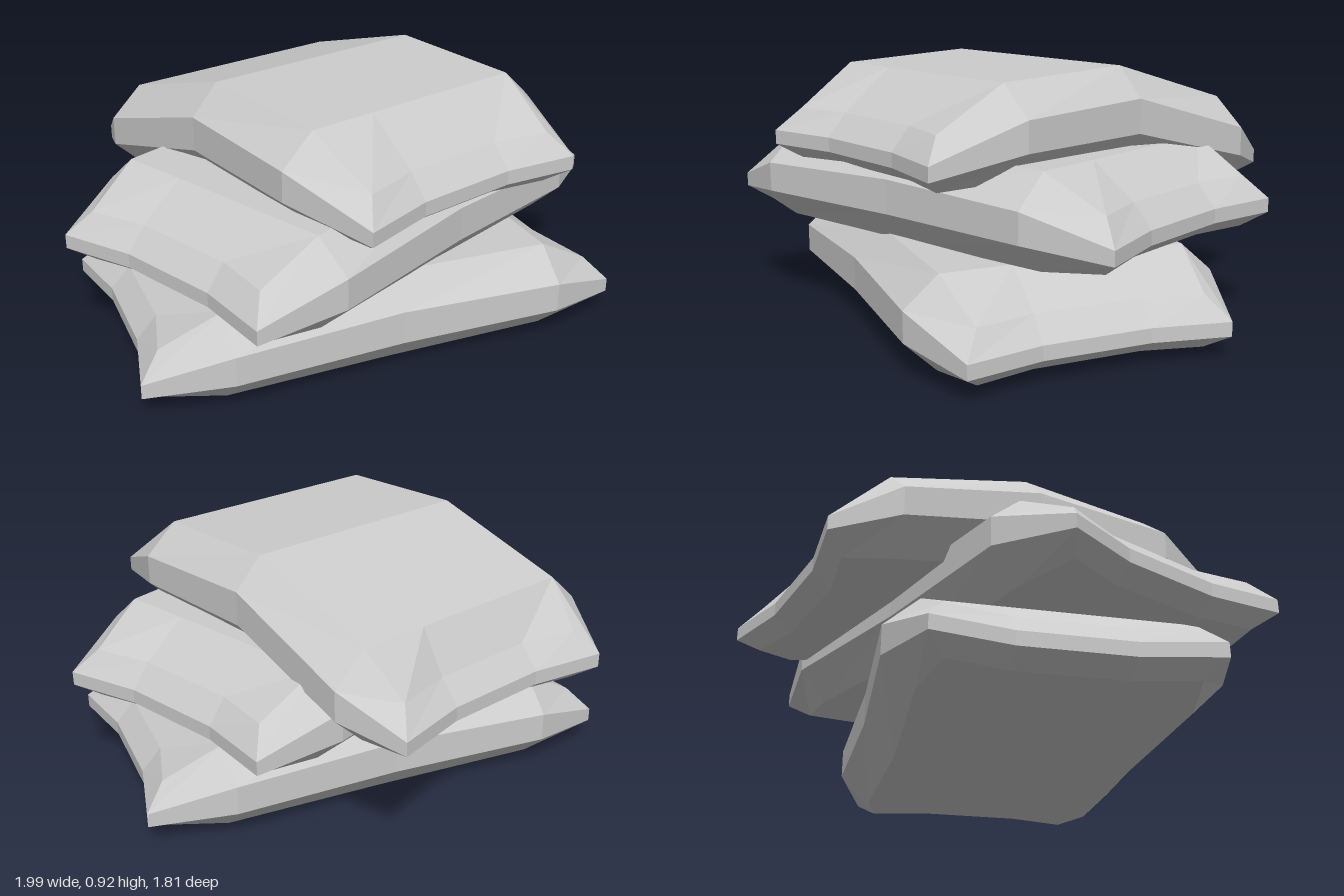
import * as THREE from 'three';

// Bag layers from bottom to top. Each lists [x, half width, y] at the
// middle, shoulder and corner, then the x of the pinched end.
const LAYERS = [
  { at: [[0, 0.43, 0], [0.6, 0.45, 0.01], [0.81, 0.4, 0.03]], pinch: 0.76 },
  { at: [[0, 0.54, 0.115], [0.6, 0.56, 0.115], [0.885, 0.46, 0.08]], pinch: 0.83 },
  { at: [[0, 0.54, 0.235], [0.6, 0.56, 0.22], [0.885, 0.46, 0.13]], pinch: 0.83 },
  { at: [[0, 0.44, 0.34], [0.6, 0.44, 0.325], [0.81, 0.4, 0.21]], pinch: 0.76 },
];
const ROWS = 5, COLS = 4;

// drape: [dx, dy] shift for each of the five rows along the bag
function bagGeometry(drape) {
  const positions = [], index = [];
  for (const { at, pinch } of LAYERS) {
    for (let i = 0; i < ROWS; i++) {
      const k = Math.abs(i - 2), side = Math.sign(i - 2);
      const [x, w, y] = at[k];
      for (let j = 0; j < COLS; j++) {
        const inner = j === 1 || j === 2;
        const px = side * (inner && k === 2 ? pinch : x);
        const pz = (j < 2 ? -1 : 1) * (inner ? 0.19 : w);
        positions.push(px + drape[i][0], y + drape[i][1], pz);
      }
    }
  }
  const id = (layer, i, j) => (layer * ROWS + i) * COLS + j;
  const quad = (a, b, c, d) => index.push(a, b, c, a, c, d);

  // Top and bottom panels
  for (let i = 0; i < ROWS - 1; i++) {
    for (let j = 0; j < COLS - 1; j++) {
      quad(id(3, i, j), id(3, i, j + 1), id(3, i + 1, j + 1), id(3, i + 1, j));
      quad(id(0, i, j), id(0, i + 1, j), id(0, i + 1, j + 1), id(0, i, j + 1));
    }
  }

  // Side walls around the rim of the grid
  const rim = [];
  for (let j = 0; j < COLS - 1; j++) rim.push([0, j]);
  for (let i = 0; i < ROWS - 1; i++) rim.push([i, COLS - 1]);
  for (let j = COLS - 1; j > 0; j--) rim.push([ROWS - 1, j]);
  for (let i = ROWS - 1; i > 0; i--) rim.push([i, 0]);
  for (let l = 0; l < LAYERS.length - 1; l++) {
    rim.forEach((a, n) => {
      const b = rim[(n + 1) % rim.length];
      quad(id(l, ...a), id(l, ...b), id(l + 1, ...b), id(l + 1, ...a));
    });
  }

  const indexed = new THREE.BufferGeometry();
  indexed.setAttribute('position', new THREE.Float32BufferAttribute(positions, 3));
  indexed.setIndex(index);
  const geometry = indexed.toNonIndexed();
  geometry.computeVertexNormals();
  return geometry;
}

export function createModel() {
  const group = new THREE.Group();
  group.name = 'sandbagStack';
  const material = new THREE.MeshStandardMaterial({ color: 0xcccccc, flatShading: true });

  const flat = Array.from({ length: ROWS }, () => [0, 0]);
  // The top bag sags over the bag below, most of all at the back
  const sagging = [[0.075, 0.415], [0.005, 0.445], [-0.07, 0.58], [-0.15, 0.575], [-0.125, 0.545]];

  const addBag = (name, drape, y, z, turn) => {
    const bag = new THREE.Mesh(bagGeometry(drape), material);
    bag.name = name;
    bag.position.set(0, y, z);
    bag.rotation.y = turn;
    group.add(bag);
  };
  addBag('bottomSandbag', flat, 0, 0.107, 0);
  addBag('middleSandbag', flat, 0.322, 0.107, 0.438);
  addBag('topSandbag', sagging, 0, 0, -1.28);
  return group;
}
